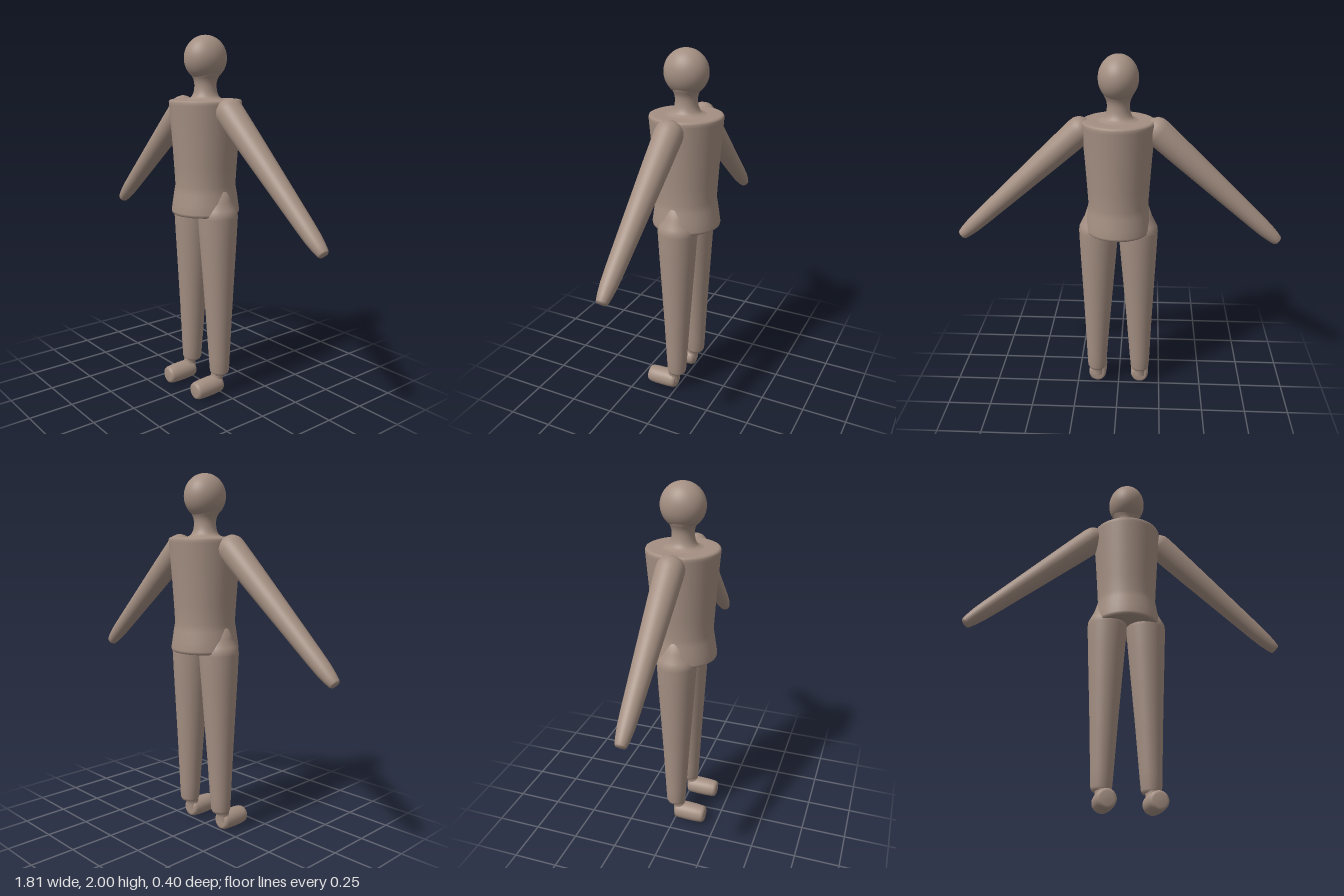
import * as THREE from 'three';

const clay = new THREE.MeshStandardMaterial({ color: 0xa48f82 });
clay.name = 'clay brown';

// Smooth turned form; points are [radius, height]
function turned(name, points, smooth = false) {
  let pts = points.map(([r, y]) => new THREE.Vector2(r, y));
  if (smooth) {
    pts = new THREE.SplineCurve(pts).getPoints(points.length * 4);
    pts.forEach((p) => { p.x = Math.max(p.x, 0); });
  }
  const mesh = new THREE.Mesh(new THREE.LatheGeometry(pts, 40), clay);
  mesh.name = name;
  return mesh;
}

// Turned form laid along the line from a to b; points are [radius, distance from a]
function limb(name, a, b, points, smooth = false) {
  const start = new THREE.Vector3(...a);
  const dir = new THREE.Vector3(...b).sub(start).normalize();
  const mesh = turned(name, points, smooth);
  mesh.position.copy(start);
  mesh.quaternion.setFromUnitVectors(new THREE.Vector3(0, 1, 0), dir);
  return mesh;
}

export function createModel() {
  const model = new THREE.Group();
  model.name = 'figure';

  // Torso with a flat collar, narrow waist and flared hem
  const torso = turned('torso', [
    [0, 1.045], [0.11, 1.045], [0.165, 1.041], [0.18, 1.04], [0.188, 1.046], [0.19, 1.058],
    [0.184, 1.1], [0.175, 1.16], [0.168, 1.2], [0.174, 1.3], [0.184, 1.45], [0.193, 1.56],
    [0.199, 1.635], [0.2, 1.65], [0.196, 1.659], [0.186, 1.663], [0.16, 1.662], [0, 1.662],
  ]);
  torso.scale.x = 0.98;
  model.add(torso);

  // Neck spreading onto the collar, and head
  model.add(turned('neck', [
    [0.13, 1.658], [0.1, 1.664], [0.078, 1.675], [0.065, 1.7], [0.06, 1.735],
    [0.064, 1.765], [0.078, 1.795], [0.085, 1.82],
  ], true));
  const head = new THREE.Mesh(new THREE.SphereGeometry(1, 40, 28), clay);
  head.name = 'head';
  head.scale.set(0.106, 0.121, 0.121);
  head.position.y = 1.879;
  model.add(head);

  for (const [side, s] of [['left', 1], ['right', -1]]) {
    // Tapered arm with a rounded shoulder and blunt tip
    model.add(limb(side + 'Arm', [0.195 * s, 1.61, 0], [0.89 * s, 0.985, 0], [
      [0, -0.06], [0.035, -0.053], [0.06, -0.035], [0.073, -0.01], [0.076, 0.02],
      [0.07, 0.2], [0.062, 0.4], [0.054, 0.6], [0.047, 0.77], [0.043, 0.84],
      [0.036, 0.895], [0.03, 0.926], [0.024, 0.934], [0, 0.936],
    ]));

    // Leg from the hip bulge down to the cuff
    model.add(limb(side + 'Leg', [0.131 * s, 0.11, 0], [0.11 * s, 1.06, 0], [
      [0, 0], [0.035, 0.001], [0.048, 0.006], [0.055, 0.022], [0.06, 0.1], [0.074, 0.35],
      [0.09, 0.6], [0.103, 0.8], [0.11, 0.92], [0.109, 0.945], [0.1, 0.965],
      [0.078, 1.01], [0.06, 1.07], [0, 1.1],
    ]));

    // Ankle set forward under the cuff
    model.add(limb(side + 'Ankle', [0.13 * s, 0.06, 0.027], [0.13 * s, 0.14, 0.01], [
      [0.042, 0], [0.036, 0.03], [0.035, 0.05], [0.045, 0.08],
    ]));

    // Stubby foot pointing forward
    model.add(limb(side + 'Foot', [0.13 * s, 0.055, -0.002], [0.13 * s, 0.05, 0.18], [
      [0, 0], [0.035, 0], [0.046, 0.005], [0.052, 0.02], [0.054, 0.07], [0.053, 0.13],
      [0.05, 0.165], [0.045, 0.178], [0.034, 0.183], [0, 0.184],
    ]));
  }
  return model;
}
